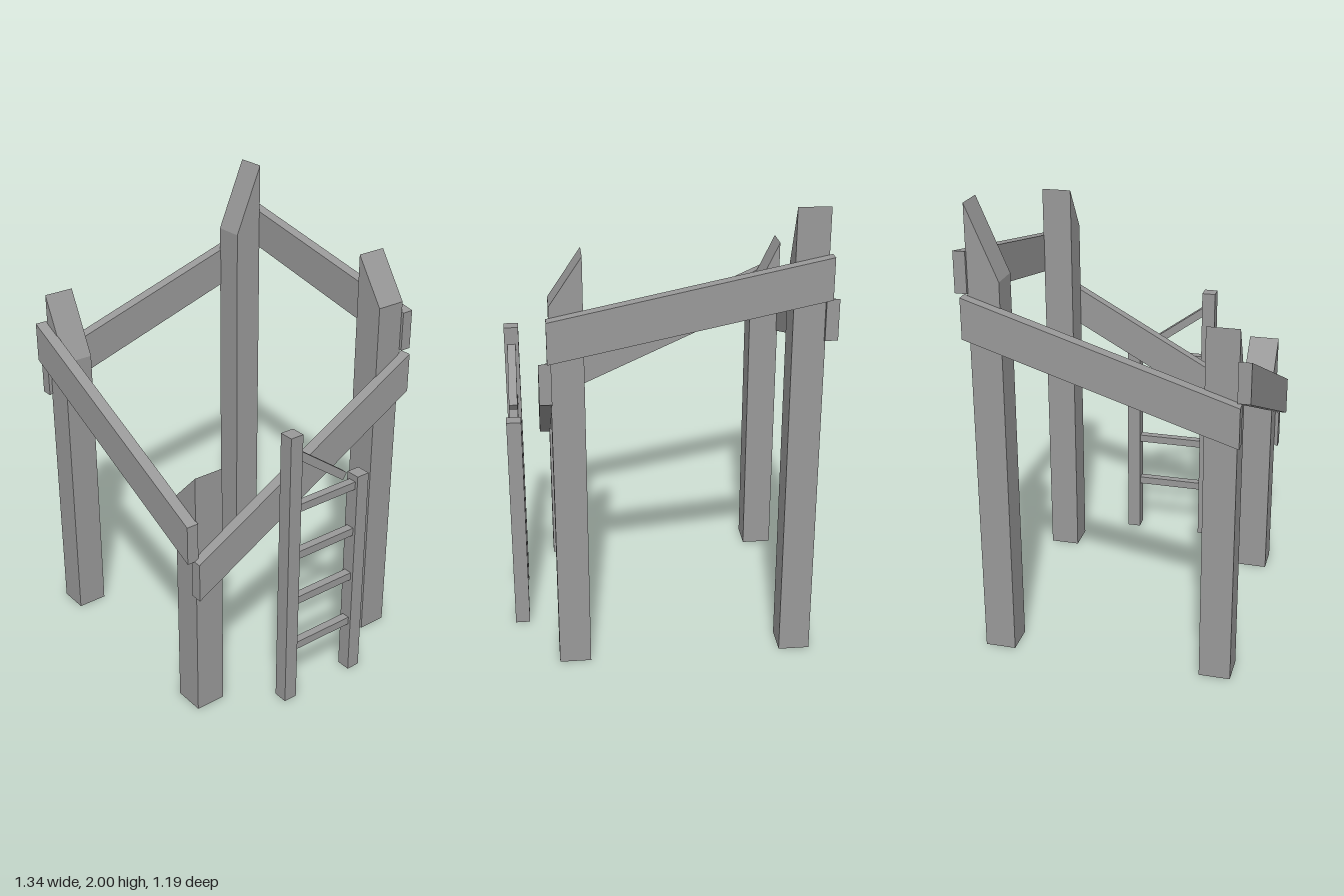
import * as THREE from 'three';

const material = new THREE.MeshStandardMaterial({ color: 0x999999, flatShading: true, side: THREE.DoubleSide });

// Box between two x and two z limits whose bottom and top heights follow rules of (x, z)
function slopedBox(name, [x0, x1], [z0, z1], bottom, top, openBase = false) {
  const geometry = new THREE.BoxGeometry(1, 1, 1);
  const p = geometry.attributes.position;
  for (let i = 0; i < p.count; i++) {
    const x = p.getX(i) < 0 ? x0 : x1;
    const z = p.getZ(i) < 0 ? z0 : z1;
    p.setXYZ(i, x, p.getY(i) < 0 ? bottom(x, z) : top(x, z), z);
  }
  if (openBase) {
    // Drop the two triangles of the underside
    const index = Array.from(geometry.index.array);
    index.splice(18, 6);
    geometry.setIndex(index);
    geometry.clearGroups();
  }
  geometry.computeVertexNormals();
  const mesh = new THREE.Mesh(geometry, material);
  mesh.name = name;
  return mesh;
}

// Height rules: level, or rising in a straight line along x or z
const flat = (y) => () => y;
const ramp = (t, a, ya, b, yb) => ya + ((t - a) / (b - a)) * (yb - ya);
const alongX = (...ends) => (x) => ramp(x, ...ends);
const alongZ = (...ends) => (x, z) => ramp(z, ...ends);

export function createModel() {
  const model = new THREE.Group();
  model.name = 'towerFrame';

  // Corner posts with slanted tops
  const left = [-0.622, -0.488], right = [0.343, 0.478];
  const front = [0.412, 0.547], back = [-0.549, -0.416];
  const posts = [
    ['frontLeftPost', left, front, alongX(left[0], 1.58, left[1], 1.3)],
    ['frontRightPost', right, front, alongX(right[0], 1.01, right[1], 1.15)],
    ['backLeftPost', left, back, alongZ(back[0], 2, back[1], 1.69)],
    ['backRightPost', right, back, alongX(right[0], 1.83, right[1], 1.63)],
  ];
  for (const [name, x, z, top] of posts) model.add(slopedBox(name, x, z, flat(0), top, true));

  // Sloping rails on the outside of the posts
  const railHeight = 0.174;
  const rails = [
    ['frontRail', [-0.635, 0.49], [0.544, 0.597], alongX(-0.635, 1.453, 0.49, 0.947)],
    ['backRail', [-0.635, 0.49], [-0.598, -0.547], alongX(-0.635, 1.81, 0.49, 1.582)],
    ['leftRail', [-0.67, -0.617], [-0.565, 0.562], alongZ(-0.565, 1.63, 0.562, 1.273)],
    ['rightRail', [0.474, 0.525], [-0.565, 0.564], alongZ(-0.565, 1.4, 0.564, 0.773)],
  ];
  for (const [name, x, z, top] of rails) {
    model.add(slopedBox(name, x, z, (a, b) => top(a, b) - railHeight, top));
  }

  // Ladder with uneven stiles
  const ladder = new THREE.Group();
  ladder.name = 'ladder';
  const stileX = [0.605, 0.669], rungX = [0.619, 0.656];
  ladder.add(slopedBox('tallStile', stileX, [0.154, 0.216], flat(0), flat(1.3), true));
  ladder.add(slopedBox('shortStile', stileX, [-0.217, -0.155], flat(0), flat(1), true));
  for (const y of [0.26, 0.497, 0.725, 0.953]) {
    ladder.add(slopedBox('rung', rungX, [-0.157, 0.156], flat(y - 0.018), flat(y + 0.018)));
  }

  // Top rung, loose at one end and hanging down
  const a = new THREE.Vector2(0.175, 1.214), b = new THREE.Vector2(-0.093, 1.02);
  const loose = new THREE.Mesh(new THREE.BoxGeometry(0.037, 0.036, a.distanceTo(b)), material);
  loose.name = 'looseRung';
  loose.position.set(0.6375, (a.y + b.y) / 2, (a.x + b.x) / 2);
  loose.rotation.x = -Math.atan2(a.y - b.y, a.x - b.x);
  ladder.add(loose);
  model.add(ladder);

  return model;
}
